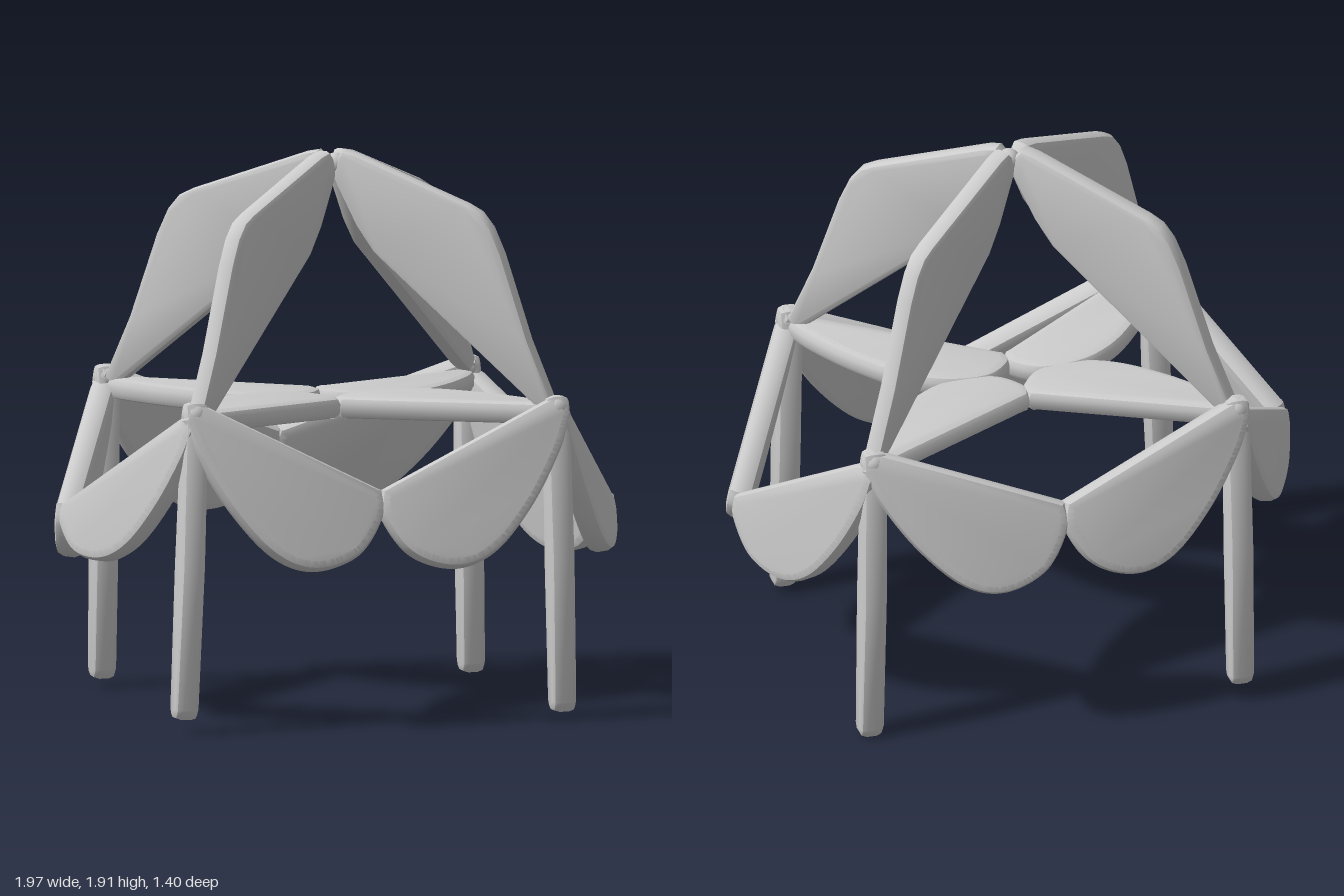
import * as THREE from 'three';
import { toCreasedNormals } from 'three/addons/utils/BufferGeometryUtils.js';

const material = new THREE.MeshStandardMaterial({ color: 0xcccccc });
const vec = (p) => new THREE.Vector3(...p);

// Thick bevelled plate: outline u runs as a fraction from a to b, v in units towards the hint.
function plate(name, a, b, hint, makeShape, thickness, bevel = 0.03) {
  const origin = vec(a);
  const u = vec(b).sub(origin);
  const length = u.length();
  u.normalize();
  const v = vec(hint);
  v.addScaledVector(u, -v.dot(u)).normalize();
  const w = new THREE.Vector3().crossVectors(u, v);
  const rim = thickness * 0.3;
  let geometry = new THREE.ExtrudeGeometry(makeShape(length), {
    depth: thickness - 2 * rim, bevelThickness: rim, bevelSize: bevel,
    bevelOffset: -bevel, bevelSegments: 2, curveSegments: 18,
  });
  geometry.translate(0, 0, -thickness / 2 + rim);
  geometry = toCreasedNormals(geometry, 0.6);
  geometry.applyMatrix4(new THREE.Matrix4().makeBasis(u, v, w).setPosition(origin));
  const mesh = new THREE.Mesh(geometry, material);
  mesh.name = name;
  return mesh;
}

// Half-leaf with one straight edge and one bulging edge.
const petalShape = (depth) => (length) => {
  const p = (x, y) => new THREE.Vector2(x * length, y * depth);
  const shape = new THREE.Shape();
  shape.moveTo(-0.05 * length, -0.03);
  shape.lineTo(0.03 * length, -0.04);
  shape.lineTo(length, 0);
  shape.splineThru([p(1.05, 0.23), p(1, 0.68), p(0.82, 0.98), p(0.6, 1),
    p(0.33, 0.75), p(0.08, 0.38), p(-0.05, 0.1)]);
  shape.closePath();
  return shape;
};

const polygon = (points) => (length) =>
  new THREE.Shape(points.map(([x, y]) => new THREE.Vector2(x * length, y)));

const wingShape = polygon([[0.0, 1.86], [0.06, 1.915], [0.12, 1.905], [0.62, 1.755], [0.68, 1.73],
  [0.73, 1.68], [0.78, 1.59], [0.9, 1.3], [1.01, 1.09], [0.97, 1.05], [0.92, 1.08],
  [0.2, 1.57], [0.12, 1.66], [0.03, 1.8]]);

const legShape = polygon([[-0.04, -0.025], [0, -0.04], [0.5, -0.052], [0.97, -0.045], [1, -0.025],
  [1, 0.025], [0.97, 0.045], [0.5, 0.06], [0, 0.04], [-0.04, 0.025]]);

export function createModel() {
  const model = new THREE.Group();
  const node = (name, p, r) => {
    const mesh = new THREE.Mesh(new THREE.IcosahedronGeometry(r, 2), material);
    mesh.name = name;
    mesh.position.set(...p);
    model.add(mesh);
  };

  // Each corner: mirror signs, corner height and depth, floor height, foot, flank petal depth and flare
  const corners = [
    { sx: 1, sz: 1, top: 1.07, z: 0.56, floor: 1.05, foot: [0.655, 0.03, 0.585], depth: 0.27, flare: 0.22 },
    { sx: -1, sz: 1, top: 1.1, z: 0.54, floor: 1.07, foot: [-0.69, 0.06, 0.575], depth: 0.27, flare: 0.22 },
    { sx: 1, sz: -1, top: 1.06, z: -0.47, floor: 1.02, foot: [0.655, 0.01, -0.475], depth: 0.32, flare: 0.1 },
    { sx: -1, sz: -1, top: 1.08, z: -0.49, floor: 1.05, foot: [-0.645, 0.04, -0.525], depth: 0.3, flare: 0.1 },
  ];
  for (const { sx, sz, top, z, floor, foot, depth, flare } of corners) {
    const side = (sz > 0 ? 'front' : 'back') + (sx > 0 ? 'Left' : 'Right');
    const corner = [sx * 0.64, top, z];

    // Upright canopy blade running from the corner to the peak
    model.add(plate(side + 'CanopyBlade', [0, 0, sz > 0 ? 0.04 : 0.06], [sx * 0.635, 0, z - sz * 0.02],
      [0, 1, 0], wingShape, 0.07, 0.02));

    // Level leaf running from the corner to the centre
    model.add(plate(side + 'FloorLeaf', [sx * 0.61, floor, z - sz * 0.04],
      [0, 1.035, sz > 0 ? 0.14 : -0.17], [0, 0, -sz], petalShape(0.26), 0.075));

    // Drooping leaf on the front or back
    model.add(plate(side + 'EndPetal', corner, sz > 0 ? [0, 0.82, 0.6] : [0, 0.87, -0.585],
      [0, -1, sz * 0.27], petalShape(0.355), 0.085));

    // Drooping leaf on the flank
    model.add(plate(side + 'SidePetal', [sx * 0.65, top - 0.04, z],
      sx > 0 ? [0.95, 0.69, 0.09] : [-0.95, 0.74, 0.07],
      [sx * flare, -1, 0], petalShape(depth), 0.085));

    // Leg
    model.add(plate(side + 'Leg', corner, foot, [0, 0, sz], legShape, 0.085, 0.02));

    node(side + 'Joint', corner, 0.045);
  }
  node('peakJoint', [0.01, 1.865, 0.05], 0.04);
  return model;
}
